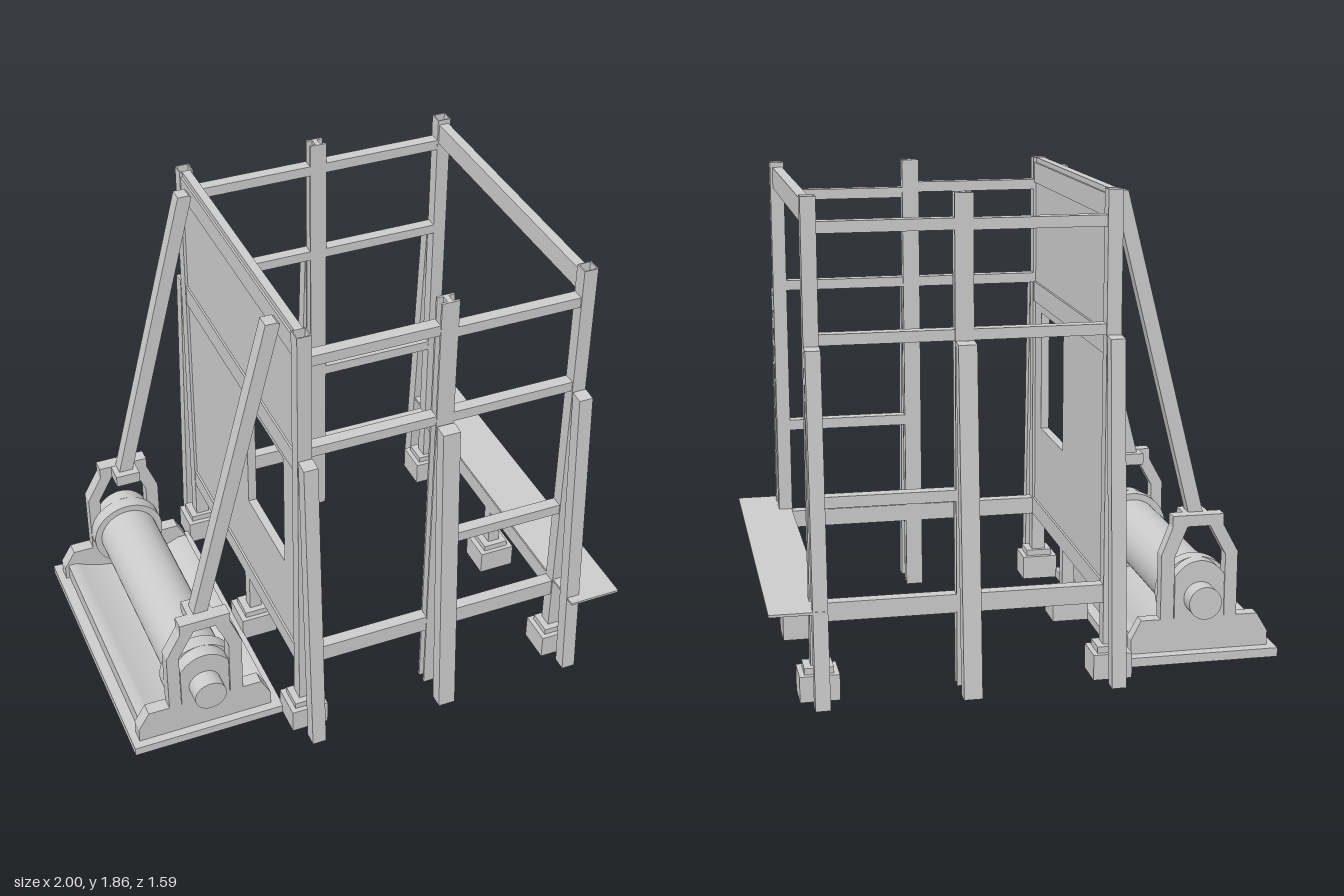
import * as THREE from 'three';
import { toCreasedNormals } from 'three/addons/utils/BufferGeometryUtils.js';

const mat = new THREE.MeshStandardMaterial({ color: 0xcccccc, side: THREE.DoubleSide });

export function createModel() {
  const root = new THREE.Group();
  const frame = new THREE.Group(); // everything mirrored front to back
  frame.name = 'frame';
  frame.position.z = -0.0125;
  root.add(frame);

  const add = (name, geo, parent = frame) => {
    const m = new THREE.Mesh(geo, mat);
    m.name = name;
    parent.add(m);
    return m;
  };
  // box from its low and high corners
  const box = (name, x0, x1, y0, y1, z0, z1, parent) => {
    const g = new THREE.BoxGeometry(x1 - x0, y1 - y0, Math.abs(z1 - z0));
    return add(name, g.translate((x0 + x1) / 2, (y0 + y1) / 2, (z0 + z1) / 2), parent);
  };
  const shapeOf = (pts) => new THREE.Shape(pts.map(([x, y]) => new THREE.Vector2(x, y)));
  const rect = (w, d) => [[-w / 2, -d / 2], [w / 2, -d / 2], [w / 2, d / 2], [-w / 2, d / 2]];
  const extrude = (shape, depth) =>
    new THREE.ExtrudeGeometry(shape, { depth, bevelEnabled: false, curveSegments: 20 });
  // profile in x and y, extruded between two depths
  const prism = (name, pts, z0, z1) => {
    const lo = Math.min(z0, z1);
    return add(name, extrude(shapeOf(pts), Math.abs(z1 - z0)).translate(0, 0, lo));
  };
  // upright profile in x and z, optionally with a rectangular bore
  const upright = (name, pts, x, z, y0, y1, bore) => {
    const s = shapeOf(pts);
    if (bore) s.holes.push(shapeOf(bore));
    return add(name, extrude(s, y1 - y0).rotateX(-Math.PI / 2).translate(x, y0, z));
  };

  const xs = [-0.303, 0.255, 0.812];
  const H = 1.86;
  const hollow = rect(0.047, 0.047);
  const hBeam = [[-0.035, -0.027], [0.035, -0.027], [0.035, -0.017], [0.01, -0.017], [0.01, 0.017],
    [0.035, 0.017], [0.035, 0.027], [-0.035, 0.027], [-0.035, 0.017], [-0.01, 0.017],
    [-0.01, -0.017], [-0.035, -0.017]];

  for (const s of [1, -1]) {
    // posts, footings and leaning braces
    xs.forEach((x, i) => {
      const mid = i === 1;
      if (mid) upright('middlePost', hBeam, x, s * 0.613, 0, H);
      else {
        upright('cornerPost', rect(0.056, 0.056), x, s * 0.615, 0.1, H, hollow);
        upright('footingBase', rect(0.15, 0.14), x, s * 0.62, 0, 0.1, hollow);
        upright('footingCap', rect(0.11, 0.1), x, s * 0.62, 0.1, 0.125, hollow);
      }
      const w = mid ? 0.07 : 0.056;
      const lean = [[0.73, 0], [0.787, 0], [0.702, 1.32], [0.647, 1.325]].map(([d, y]) => [-s * d, y]);
      add('brace', extrude(shapeOf(lean), w).rotateY(Math.PI / 2).translate(x - w / 2, 0, 0));
    });

    // side rails
    const rail = (x0, x1, y0, y1) => box('sideRail', x0, x1, y0, y1, s * 0.588, s * 0.637);
    const [a, b, c, d] = [-0.275, 0.22, 0.29, 0.785];
    for (const [x0, x1] of [[a, b], [c, d]]) {
      rail(x0, x1, 0.29, 0.362);
      rail(x0, x1, 1.325, 1.366);
    }
    rail(a, b, 1.725, 1.767);
    rail(c, d, s > 0 ? 1.703 : 1.727, s > 0 ? 1.745 : 1.77);
    rail(c, d, 0.722, 0.765);

    // bearing end plate on the machine base
    const z0 = s * 0.488, z1 = s * 0.543;
    prism('endPlate', [[-0.97, 0.035], [-0.415, 0.035], [-0.415, 0.095], [-0.455, 0.17],
      [-0.925, 0.17], [-0.97, 0.095]], z0, z1);
    // arched bracket over the shaft
    prism('bracket', [[-0.84, 0.17], [-0.84, 0.43], [-0.78, 0.54], [-0.78, 0.585], [-0.575, 0.585],
      [-0.575, 0.54], [-0.532, 0.43], [-0.532, 0.17], [-0.585, 0.17], [-0.585, 0.42],
      [-0.635, 0.54], [-0.725, 0.54], [-0.79, 0.42], [-0.79, 0.17]], z0, z1);
    // round-topped bearing housing
    const housing = new THREE.Shape();
    housing.moveTo(-0.788, 0.17);
    housing.lineTo(-0.588, 0.17);
    housing.lineTo(-0.588, 0.34);
    housing.quadraticCurveTo(-0.63, 0.4, -0.688, 0.4);
    housing.quadraticCurveTo(-0.746, 0.4, -0.788, 0.34);
    housing.closePath();
    add('bearing', toCreasedNormals(extrude(housing, 0.055), 0.6).translate(0, 0, Math.min(z0, z1)));
    // long stay from the bracket to the top of the wall
    box('stayFoot', -0.73, -0.63, 0.535, 0.584, s * 0.41, s * 0.525);
    prism('stay', [[-0.71, 0.575], [-0.652, 0.575], [-0.335, 1.83], [-0.345, 1.838], [-0.39, 1.838]],
      s * 0.44, s * 0.497);
  }

  // central footings under the cross beams
  for (const x of [xs[0], xs[2]]) {
    box('footingBase', x - 0.075, x + 0.075, 0, 0.1, -0.02, 0.123);
    box('footingCap', x - 0.053, x + 0.053, 0.1, 0.125, -0.002, 0.105);
    box('stubPost', x - 0.025, x + 0.025, 0.125, 0.29, 0.03, 0.08);
    box('lowerCrossBeam', x - 0.026, x + 0.026, 0.29, 0.365, -0.588, 0.588);
  }
  box('upperCrossBeam', 0.79, 0.83, 1.755, 1.84, -0.588, 0.588);
  box('plank', 0.787, 1, 0.364, 0.374, -0.765, 0.8);

  // wall panel with a window, in z and y
  const wall = shapeOf([[-0.588, 0.29], [0.588, 0.29], [0.588, H], [-0.588, H]]);
  wall.holes.push(shapeOf([[-0.47, 0.705], [-0.078, 0.705], [-0.078, 1.21], [-0.47, 1.21]]));
  add('wallPanel', extrude(wall, 0.034).rotateY(Math.PI / 2).translate(-0.32, 0, 0));
  for (const y of [1.245, 1.755]) box('wallBeam', -0.328, -0.278, y, y + 0.085, -0.588, 0.588);

  // machine base: open slab and a dished trough
  const slab = upright('baseSlab', rect(0.625, 1.165), -0.6875, -0.005, 0, 0.036, rect(0.53, 1.06));
  slab.position.y = 0;
  const trough = new THREE.Shape();
  trough.moveTo(-0.955, 0.03);
  trough.lineTo(-0.955, 0.105);
  trough.lineTo(-0.92, 0.105);
  trough.quadraticCurveTo(-0.69, -0.01, -0.455, 0.105);
  trough.lineTo(-0.42, 0.105);
  trough.lineTo(-0.42, 0.03);
  trough.lineTo(-0.43, 0.03);
  trough.lineTo(-0.43, 0.09);
  trough.quadraticCurveTo(-0.69, -0.025, -0.945, 0.09);
  trough.lineTo(-0.945, 0.03);
  trough.closePath();
  add('trough', toCreasedNormals(extrude(trough, 0.98), 0.5).translate(0, 0, -0.49));

  // roller: shaft ends, flanges and drum turned as one profile
  const half = [[0, 0.617], [0.065, 0.617], [0.065, 0.487], [0.15, 0.487], [0.15, 0.43], [0.122, 0.43]];
  const profile = [...half, ...half.map(([r, d]) => [r, -d]).reverse()]
    .reverse().map(([r, d]) => new THREE.Vector2(r, d));
  const roller = add('roller', toCreasedNormals(new THREE.LatheGeometry(profile, 40), 0.6));
  roller.rotation.x = Math.PI / 2;
  roller.position.set(-0.69, 0.25, 0);

  return root;
}
